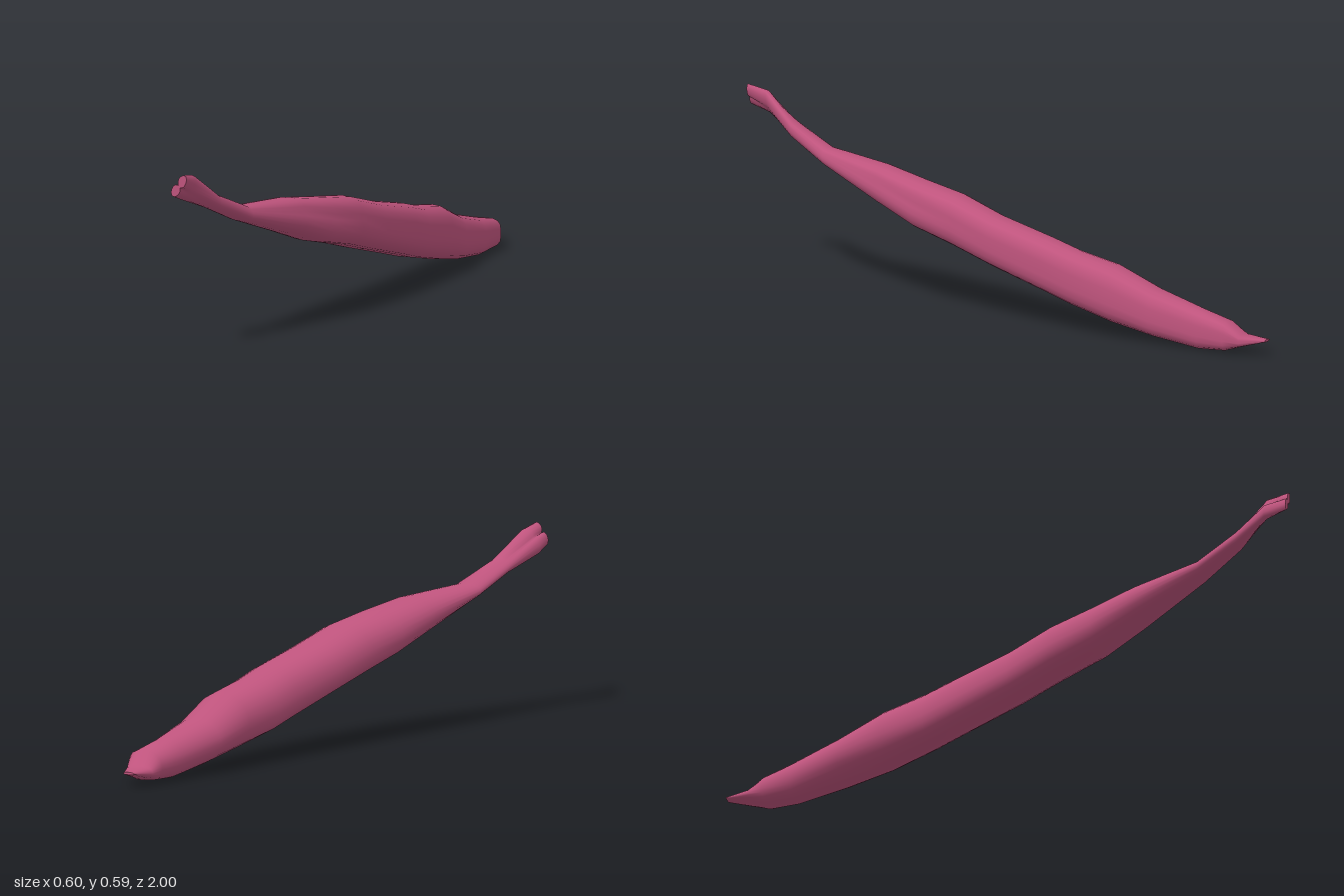
import * as THREE from 'three';

// Stations along the belly: z, xMin, xMax, yMin, yMax,
// fullness of the upper (+x +y) corner, of the lower (-x -y) corner, and flattening between them
const STATIONS = [
  [1, -0.298, -0.248, 0.522, 0.592, 0.6, 0.6, 0.8],
  [0.93, -0.3, -0.235, 0.5, 0.58, 0.4, 0.3, 0.4],
  [0.82, -0.25, -0.177, 0.45, 0.5, -0.12, -0.1, 0.05],
  [0.68, -0.21, -0.112, 0.386, 0.437, -0.05, -0.18, 0],
  [0.45, -0.155, 0.005, 0.305, 0.42, 0, -0.05, 0],
  [0.3, -0.115, 0.065, 0.25, 0.395, 0.02, -0.03, 0],
  [0.15, -0.075, 0.11, 0.213, 0.37, 0.02, 0.03, 0],
  [0, -0.03, 0.15, 0.169, 0.325, 0.05, 0.04, 0],
  [-0.2, 0.02, 0.194, 0.114, 0.28, 0.06, 0.04, 0],
  [-0.3, 0.042, 0.215, 0.085, 0.253, 0.05, 0.02, 0],
  [-0.45, 0.075, 0.25, 0.05, 0.225, 0, -0.07, 0],
  [-0.6, 0.105, 0.259, 0.02, 0.166, 0.02, -0.22, 0],
  [-0.77, 0.16, 0.277, 0, 0.123, 0.02, -0.12, 0],
  [-0.87, 0.185, 0.298, 0.007, 0.1, 0.05, 0, 0],
  [-0.92, 0.195, 0.285, 0.022, 0.06, 0.05, 0.05, 0],
  [-1, 0.225, 0.26, 0.042, 0.05, 0, 0, 0],
];
const SIDES = 24;

// Strength of a corner's pull at angle t
const pull = (t, quarter) => Math.max(0, Math.cos(t - (quarter * Math.PI) / 4)) ** 6;

// Rounded-box section, shaped at its corners and fitted to the station's extents
function section([z, x0, x1, y0, y1, upper, lower, flat]) {
  const pts = [];
  for (let j = 0; j < SIDES; j++) {
    const t = (j / SIDES) * Math.PI * 2;
    const c = Math.cos(t), s = Math.sin(t);
    let r = Math.pow(Math.abs(c) ** 3 + Math.abs(s) ** 3, -1 / 3);
    r *= 1 + upper * pull(t, 1) + lower * pull(t, 5)
      - (0.14 + flat) * pull(t, 3) + (0.06 - flat) * pull(t, 7);
    // shallow furrow along the left flank near the front
    r *= 1 - 0.12 * Math.exp(-(((z - 0.38) / 0.14) ** 2) - ((t - 0.3) / 0.3) ** 2);
    pts.push(new THREE.Vector2(c * r, s * r));
  }
  const box = new THREE.Box2().setFromPoints(pts);
  const size = box.getSize(new THREE.Vector2());
  return pts.map((p) => new THREE.Vector3(
    x0 + ((p.x - box.min.x) / size.x) * (x1 - x0),
    y0 + ((p.y - box.min.y) / size.y) * (y1 - y0),
    z,
  ));
}

function geometry(points, index) {
  const g = new THREE.BufferGeometry().setFromPoints(points);
  g.setIndex(index);
  g.computeVertexNormals();
  return g;
}

// Smooth skin lofted through the rings
function loft(rings) {
  const index = [];
  for (let i = 0; i < rings.length - 1; i++) {
    for (let j = 0; j < SIDES; j++) {
      const a = i * SIDES + j, b = i * SIDES + ((j + 1) % SIDES);
      index.push(a, a + SIDES, b, b, a + SIDES, b + SIDES);
    }
  }
  return geometry(rings.flat(), index);
}

// Flat end cap
function cap(ring, front) {
  const centre = ring.reduce((sum, p) => sum.add(p), new THREE.Vector3()).divideScalar(SIDES);
  const index = [];
  for (let j = 0; j < SIDES; j++) {
    const a = j + 1, b = ((j + 1) % SIDES) + 1;
    index.push(0, front ? a : b, front ? b : a);
  }
  return geometry([centre, ...ring], index);
}

export function createModel() {
  const group = new THREE.Group();
  group.name = 'muscle';
  const musclePink = new THREE.MeshStandardMaterial({ color: 0xbf547d });
  musclePink.name = 'muscle pink';

  const rings = STATIONS.map(section);
  const add = (name, geo) => {
    const mesh = new THREE.Mesh(geo, musclePink);
    mesh.name = name;
    group.add(mesh);
  };
  add('muscleBelly', loft(rings));
  add('frontTendonEnd', cap(rings[0], true));
  add('backTendonEnd', cap(rings[rings.length - 1], false));
  return group;
}
